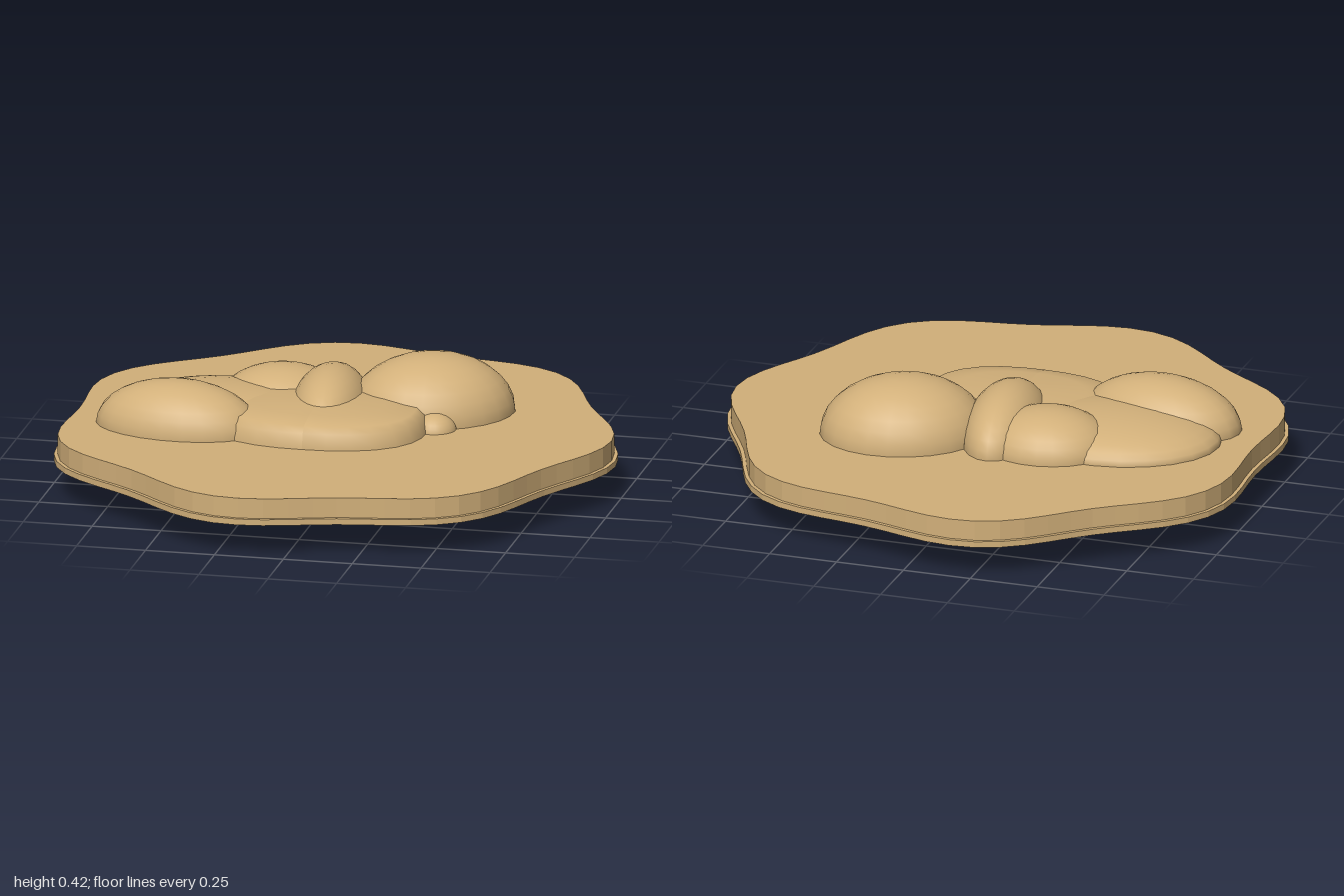
import * as THREE from 'three';

export function createModel() {
  const model = new THREE.Group();
  const sand = new THREE.MeshStandardMaterial({ color: 0xd2b07a });
  sand.name = 'sand';

  const add = (name, geometry, x, y, z) => {
    const mesh = new THREE.Mesh(geometry, sand);
    mesh.name = name;
    mesh.position.set(x, y, z);
    model.add(mesh);
    return mesh;
  };

  // Wavy slab with seven lobes
  const slab = (name, inset, y, height) => {
    const points = [];
    for (let i = 0; i < 70; i++) {
      const t = (i / 70) * Math.PI * 2;
      const r = 0.978 + 0.037 * Math.cos(7 * t) - inset;
      points.push(new THREE.Vector2(r * Math.cos(t), r * Math.sin(t)));
    }
    const geometry = new THREE.ExtrudeGeometry(new THREE.Shape(points), { depth: height, bevelEnabled: false });
    geometry.rotateX(-Math.PI / 2);
    add(name, geometry, -0.035, y, 0);
  };
  slab('baseRim', 0, 0.125, 0.022);
  slab('basePlate', 0.014, 0.147, 0.073);

  // Rounded boulders, sunk through the plate
  const boulder = (name, [x, y, z], [rx, ry, rz], turn = 0) => {
    const geometry = new THREE.SphereGeometry(1, 24, 16);
    geometry.scale(rx, ry, rz);
    add(name, geometry, x, y, z).rotation.y = turn;
  };
  boulder('largeBoulder', [0.26, 0.22, -0.23], [0.3, 0.21, 0.25], 0.4);
  boulder('leftBoulder', [-0.57, 0.22, 0.16], [0.303, 0.17, 0.188], -0.12);
  boulder('ridgeBoulder', [-0.08, 0.22, -0.11], [0.145, 0.172, 0.3], 0.1);
  boulder('middleBoulder', [-0.27, 0.22, -0.2], [0.235, 0.145, 0.2], 0.1);
  boulder('backLeftBoulder', [-0.46, 0.22, -0.03], [0.385, 0.108, 0.3], 0.05);
  boulder('pebble', [0.32, 0.21, -0.01], [0.08, 0.07, 0.08]);

  // Low flat-topped stone at the front with a bevelled edge
  const profile = [[1, 0], [0.99, 0.35], [0.95, 0.68], [0.88, 0.84], [0.6, 0.96], [0, 1]]
    .map(([r, y]) => new THREE.Vector2(r, y));
  const stone = new THREE.LatheGeometry(profile, 28);
  const p = stone.attributes.position;
  for (let i = 0; i < p.count; i++) {
    const x = p.getX(i), z = p.getZ(i), r = Math.hypot(x, z);
    // squarer outline than an ellipse
    const k = r > 0 ? r / Math.pow(Math.abs(x) ** 2.4 + Math.abs(z) ** 2.4, 1 / 2.4) : 1;
    p.setXYZ(i, x * k * 0.39, p.getY(i) * 0.14, z * k * 0.3);
  }
  stone.computeVertexNormals();
  add('frontStone', stone, -0.08, 0.18, 0.05).material = Object.assign(sand, { side: THREE.DoubleSide });

  return model;
}
